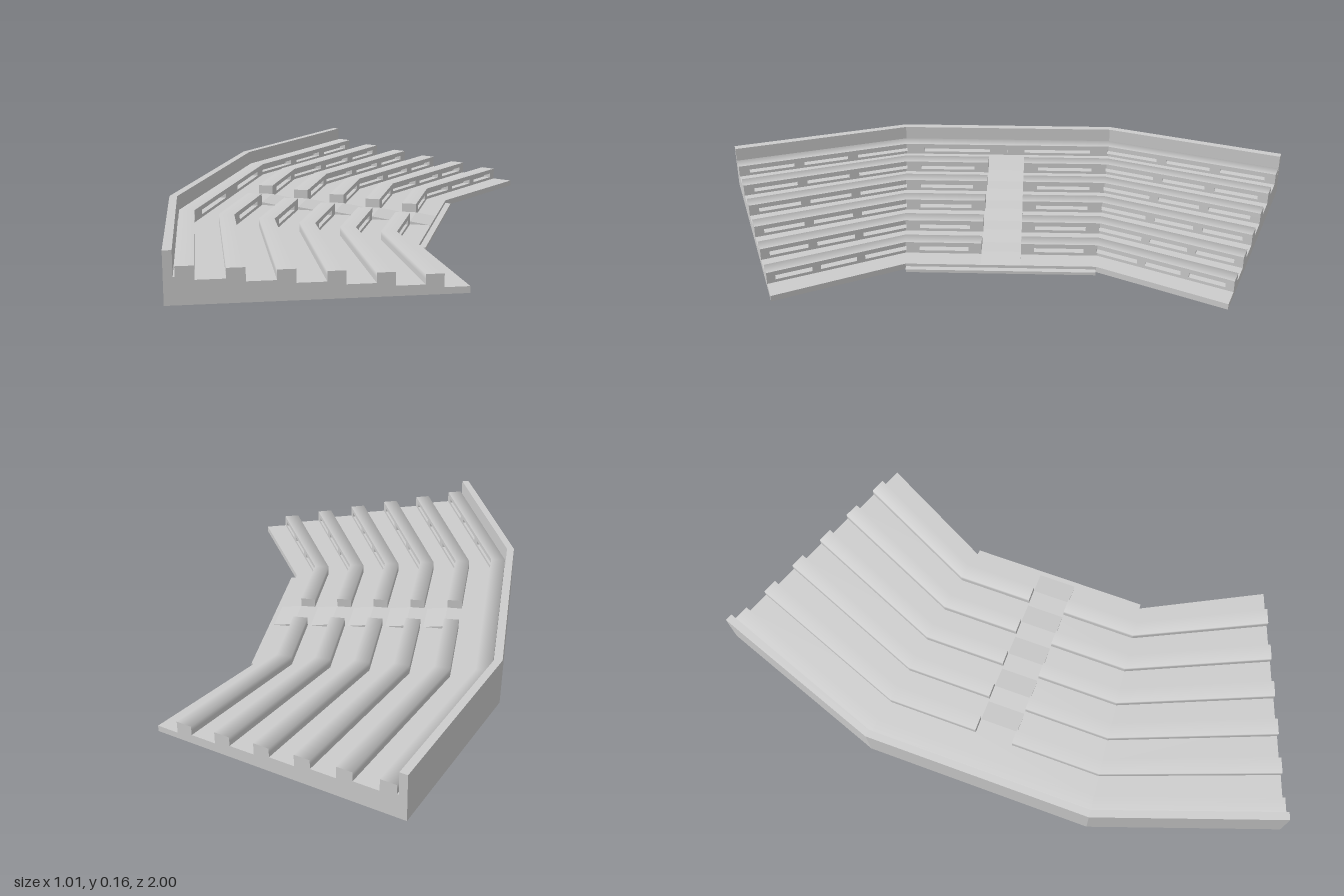
import * as THREE from 'three';

const material = new THREE.MeshStandardMaterial({ color: 0xcccccc, side: THREE.DoubleSide });
const ROWS = 6, PITCH = 0.13, SEAT = 0.05, AISLE = 0.065;

// Plan position: x is the offset at the middle, s runs 0..1 straight and 1..2 along the angled wing.
function planPoint(x, s, gap) {
  const sign = s < 0 ? -1 : 1, t = Math.abs(s);
  const bendZ = 0.39 - (x + 0.505) * 0.1;
  const endX = x + 0.215 - 0.01 * (x + 0.505);
  const endZ = 1 - (endX + 0.29) * 0.367;
  if (t <= 1) return new THREE.Vector2(x, -sign * (gap + (bendZ - gap) * t));
  return new THREE.Vector2(x + (endX - x) * (t - 1), -sign * (bendZ + (endZ - bendZ) * (t - 1)));
}

// Prism following the bent plan between two offsets and two heights.
function band(x0, x1, y0, y1, stops, gap = 0) {
  const outline = [
    ...stops.map((s) => planPoint(x0, s, gap)),
    ...[...stops].reverse().map((s) => planPoint(x1, s, gap)),
  ];
  const geometry = new THREE.ExtrudeGeometry(new THREE.Shape(outline), { depth: y1 - y0, bevelEnabled: false });
  return geometry.rotateX(-Math.PI / 2).translate(0, y0, 0);
}

// Blend the normals along the rear top edge of a seat.
function softenRearEdge(geometry, x0, top, stops, gap) {
  const rear = stops.map((s) => planPoint(x0, s, gap));
  const pos = geometry.attributes.position, nor = geometry.attributes.normal;
  for (let i = 0; i < pos.count; i++) {
    const onEdge = Math.abs(pos.getY(i) - top) < 1e-4 &&
      rear.some((p) => Math.hypot(p.x - pos.getX(i), p.y + pos.getZ(i)) < 1e-4);
    if (onEdge && (nor.getY(i) > 0.5 || nor.getX(i) < -0.7)) nor.setXYZ(i, -0.707, 0.707, 0);
  }
  return geometry;
}

export function createModel() {
  const model = new THREE.Group();
  const add = (name, geometry, parent = model) => {
    const mesh = new THREE.Mesh(geometry, material);
    mesh.name = name;
    parent.add(mesh);
  };
  const full = [-2, -1, 1, 2];

  // Rear wall and the low front lip
  add('rearWall', band(-0.505, -0.48, 0, 0.155, full));
  add('frontLip', band(0.295, 0.315, 0, 0.01, [-1, 1]));

  // Terraces, each ending under the front of its bench
  let back = -0.48;
  for (let row = 0; row <= ROWS; row++) {
    const front = row < ROWS ? -0.475 + row * PITCH + SEAT : 0.295;
    add('terrace', band(back, front, 0, 0.08 - row * 0.01, full));
    back = front;
  }

  // Benches: seat slab, backing below it and short supports under the overhang
  for (let row = 0; row < ROWS; row++) {
    const bench = new THREE.Group();
    bench.name = 'bench';
    model.add(bench);
    const x0 = -0.475 + row * PITCH, x1 = x0 + SEAT, mid = x0 + SEAT * 0.5;
    const floor = 0.08 - row * 0.01, under = floor + 0.015, top = floor + 0.03;
    const gap = row ? AISLE : 0;
    const runs = row ? [[-2, -1, -0.001], [0.001, 1, 2]] : [full];
    for (const run of runs) {
      add('seat', softenRearEdge(band(x0, x1, under, top, run, gap), x0, top, run, gap), bench);
      add('seatBacking', band(x0, mid, floor, under, run, gap), bench);
    }
    for (const side of [-1, 1]) {
      for (const s of [0.001, 0.82, 1.3, 1.62, 1.94]) {
        const length = s < 1 ? 0.17 : 0.06;
        add('seatSupport', band(mid, x1, floor, under, [side * s, side * (s + length)], gap), bench);
      }
    }
  }

  // Aisle ramps easing each step down between the bench halves
  for (let row = 1; row < ROWS; row++) {
    const x = -0.475 + row * PITCH + SEAT, high = 0.08 - row * 0.01;
    const wedge = new THREE.Shape([
      new THREE.Vector2(x, high - 0.01),
      new THREE.Vector2(x + 0.07, high - 0.01),
      new THREE.Vector2(x, high),
    ]);
    const geometry = new THREE.ExtrudeGeometry(wedge, { depth: AISLE * 2, bevelEnabled: false });
    add('aisleRamp', geometry.translate(0, 0, -AISLE));
  }
  return model;
}
